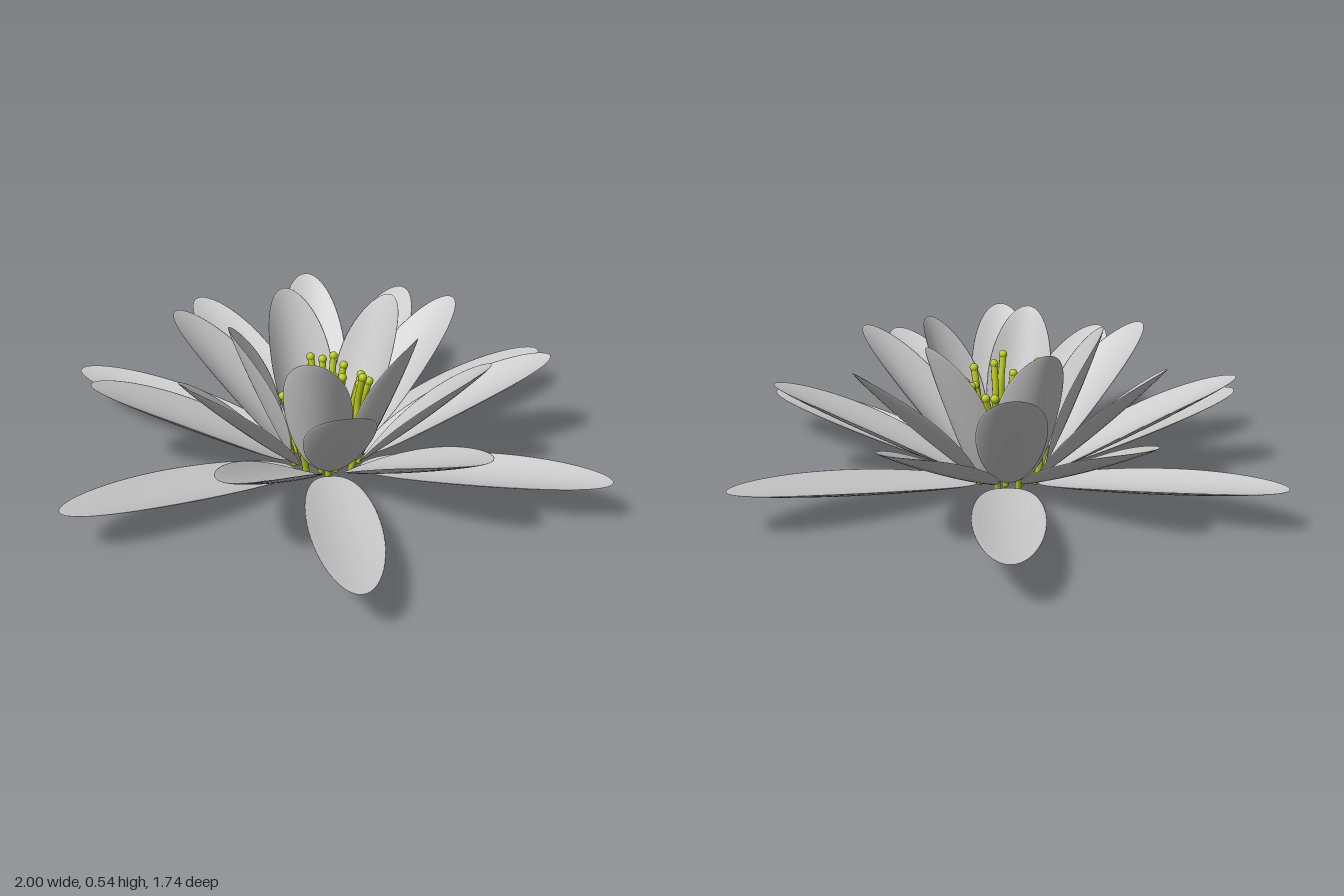
import * as THREE from 'three';

const petalMat = new THREE.MeshStandardMaterial({ color: 0xcccccc });
const stamenMat = new THREE.MeshStandardMaterial({ color: 0xb9c81e });

// Petal: a thin elliptical blade along +x, cupped across and bent upward along its length
function petalGeometry({ r0, y0, r1, y1, half, cup, bend = 0, blunt = 0.5 }) {
  const rows = 28, loop = 28, thick = 0.007;
  const pos = [], idx = [];
  const len = r1 - r0, rise = y1 - y0;
  for (let i = 0; i <= rows; i++) {
    const u = (1 - Math.cos((Math.PI * i) / rows)) / 2;
    const power = u < 0.5 ? blunt : 0.5;
    const k = Math.pow(Math.max(0, 4 * u * (1 - u)), power);
    const slope = rise * (1 + bend * (2 * u - 1));
    const m = Math.hypot(len, slope);
    const x = r0 + len * u, y = y0 + rise * (u + bend * (u * u - u));
    for (let j = 0; j < loop; j++) {
      const a = (2 * Math.PI * j) / loop, s = Math.cos(a) * k;
      const lift = cup * s * s + thick * k * Math.sin(a);
      pos.push(x - (lift * slope) / m, y + (lift * len) / m, half * s);
    }
  }
  for (let i = 0; i < rows; i++) {
    for (let j = 0; j < loop; j++) {
      const n = (j + 1) % loop;
      const a = i * loop + j, b = a + loop, c = i * loop + n, d = c + loop;
      idx.push(a, b, c, b, d, c);
    }
  }
  const g = new THREE.BufferGeometry();
  g.setAttribute('position', new THREE.Float32BufferAttribute(pos, 3));
  g.setIndex(idx);
  g.computeVertexNormals();
  return g;
}

// Four whorls, from the flat outer one to the upright inner one (start in degrees, x towards z)
const whorls = [
  { name: 'outerPetal', count: 6, start: 0, r0: 0.13, y0: 0.015, r1: 1.0, y1: 0.16, half: 0.115, cup: 0.03, bend: 0.3, blunt: 0.42 },
  { name: 'secondPetal', count: 6, start: 27.5, r0: 0.13, y0: 0.025, r1: 0.785, y1: 0.358, half: 0.115, cup: 0.035, bend: 0.08 },
  { name: 'thirdPetal', count: 6, start: -2, r0: 0.13, y0: 0.035, r1: 0.57, y1: 0.478, half: 0.115, cup: 0.04, bend: 0.08 },
  { name: 'innerPetal', count: 5, start: -10, r0: 0.13, y0: 0.045, r1: 0.325, y1: 0.535, half: 0.115, cup: 0.055, bend: 0.08 },
];

// Small seeded generator for the stamen variation
function seeded(seed) {
  return () => {
    seed = (seed * 16807) % 2147483647;
    return seed / 2147483647;
  };
}

function createStamens() {
  const group = new THREE.Group();
  group.name = 'stamens';
  const rand = seeded(41);
  const count = 18, radius = 0.012;
  const ball = new THREE.SphereGeometry(1, 12, 8);
  for (let i = 0; i < count; i++) {
    const a = (2 * Math.PI * i) / count + (rand() - 0.5) * 0.15;
    const r = i % 2 ? 0.085 : 0.115;
    const h = 0.25 + 0.1 * rand() + (Math.cos(a - 2.1) > 0.6 ? 0.08 : 0);
    const swing = (rand() - 0.5) * 0.5;
    const at = (rad, y, turn) => new THREE.Vector3(rad * Math.cos(a + turn), y, rad * Math.sin(a + turn));
    const path = new THREE.CatmullRomCurve3([
      at(r, radius, 0),
      at(r + 0.02, h * 0.35, swing * 0.2),
      at(r + 0.01, h * 0.7, swing),
      at(r + 0.035, h, swing * 0.6),
    ]);
    const stamen = new THREE.Group();
    stamen.name = 'stamen';
    const stalk = new THREE.Mesh(new THREE.TubeGeometry(path, 16, radius, 8), stamenMat);
    stalk.name = 'stalk';
    stamen.add(stalk);
    // Rounded foot and slightly swollen tip
    for (const [name, t, size] of [['foot', 0, radius], ['tip', 1, 0.015]]) {
      const end = new THREE.Mesh(ball, stamenMat);
      end.name = name;
      end.position.copy(path.getPoint(t));
      end.scale.setScalar(size);
      stamen.add(end);
    }
    group.add(stamen);
  }
  return group;
}

export function createModel() {
  const flower = new THREE.Group();
  flower.name = 'waterLily';
  for (const whorl of whorls) {
    const geometry = petalGeometry(whorl);
    for (let i = 0; i < whorl.count; i++) {
      const petal = new THREE.Mesh(geometry, petalMat);
      petal.name = whorl.name;
      petal.rotation.y = -THREE.MathUtils.degToRad(whorl.start + (360 * i) / whorl.count);
      flower.add(petal);
    }
  }
  flower.add(createStamens());
  return flower;
}
